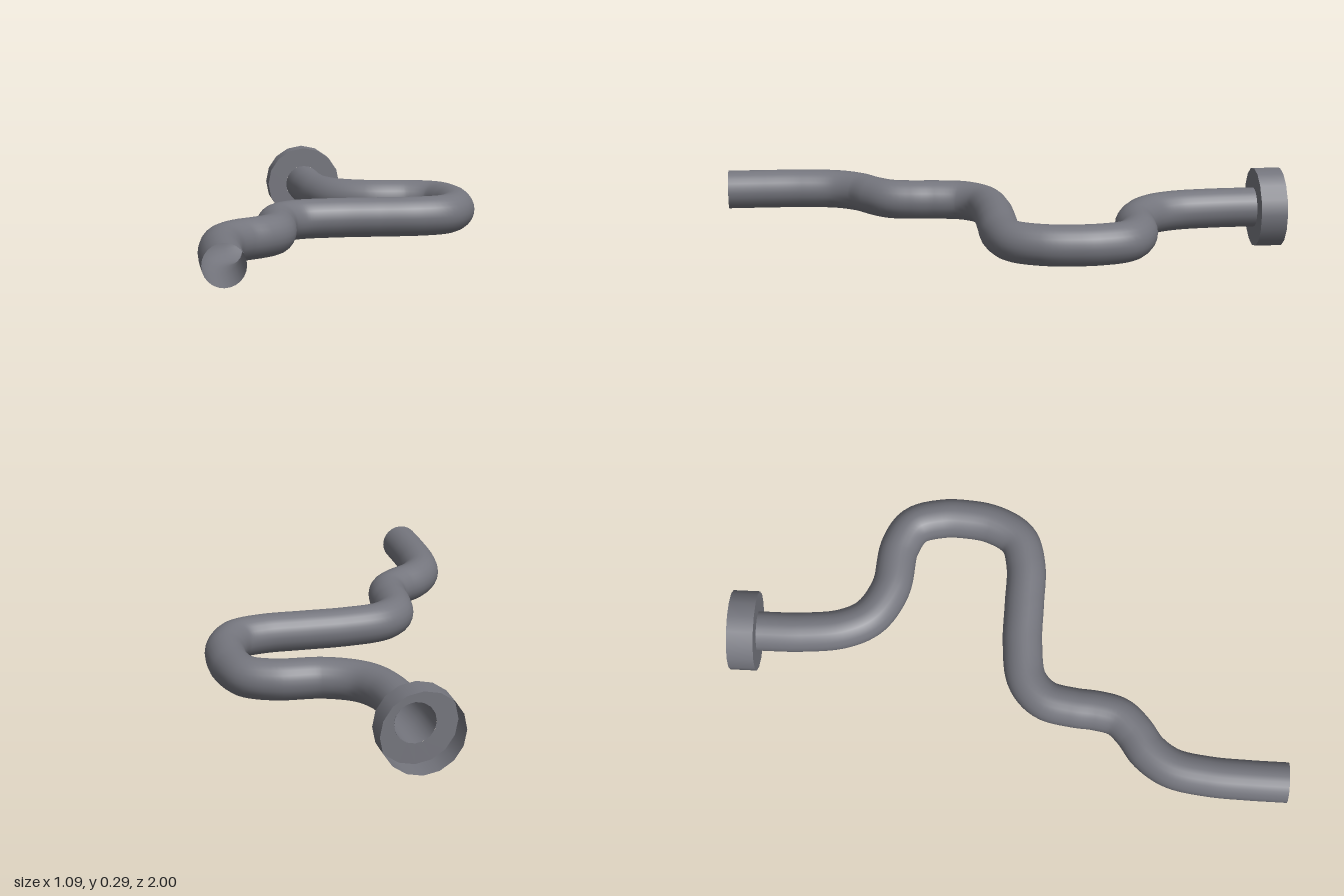
import * as THREE from 'three';

const AXIS_Y = 0.143, PIPE_R = 0.071, COLLAR_R = 0.143, BACK = -1, FLOOR = -0.905;

export function createModel() {
  const model = new THREE.Group();
  model.name = 'bentPipe';
  const metal = new THREE.MeshStandardMaterial({ color: 0x75767e, side: THREE.DoubleSide });

  // Pipe centre line as (x, z), from the collar to the open front end
  const path = [
    [0, FLOOR], [0.003, -0.75], [0.024, -0.6], [0.075, -0.506], [0.19, -0.44], [0.35, -0.418],
    [0.438, -0.368], [0.471, -0.27], [0.474, -0.19], [0.457, -0.08], [0.4, 0.014], [0.3, 0.046],
    [0.15, 0.047], [0, 0.047], [-0.14, 0.07], [-0.21, 0.135], [-0.235, 0.24], [-0.242, 0.32],
    [-0.262, 0.4], [-0.314, 0.456], [-0.385, 0.508], [-0.441, 0.59], [-0.466, 0.72],
    [-0.473, 0.86], [-0.475, 1],
  ].map(([x, z]) => new THREE.Vector3(x, AXIS_Y, z));
  const curve = new THREE.CatmullRomCurve3(path, false, 'centripetal');
  const pipe = new THREE.Mesh(new THREE.TubeGeometry(curve, 160, PIPE_R, 24), metal);
  pipe.name = 'pipe';
  model.add(pipe);

  // Collar: open cup facing back, with a ring-shaped floor around the pipe
  const collar = new THREE.Group();
  collar.name = 'collar';
  const wall = new THREE.Mesh(
    new THREE.CylinderGeometry(COLLAR_R, COLLAR_R, FLOOR - BACK, 16, 1, true).rotateX(Math.PI / 2), metal);
  wall.name = 'collarWall';
  wall.position.set(0, AXIS_Y, (FLOOR + BACK) / 2);
  const floor = new THREE.Mesh(new THREE.RingGeometry(PIPE_R, COLLAR_R, 16), metal);
  floor.name = 'collarFloor';
  floor.position.set(0, AXIS_Y, FLOOR);
  collar.add(wall, floor);
  model.add(collar);

  return model;
}
